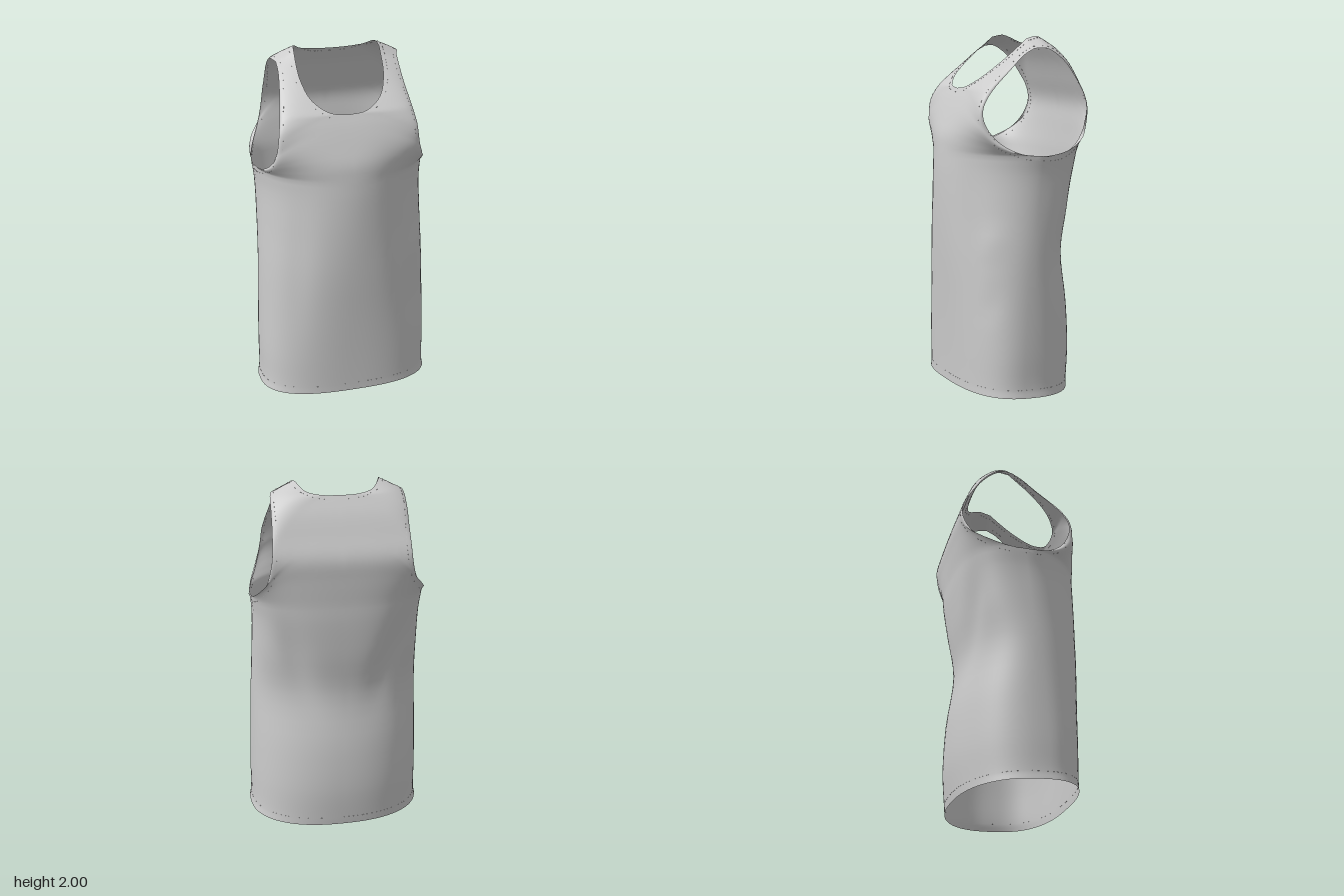
import * as THREE from 'three';
import { mergeGeometries, mergeVertices } from 'three/addons/utils/BufferGeometryUtils.js';

const V = (p) => new THREE.Vector3(...p);
const { clamp, lerp, smoothstep } = THREE.MathUtils;
const SEG = 4, COLS = 20;

// Samples a smooth path, SEG steps per control point
const path = (pts) => new THREE.CatmullRomCurve3(pts.map(V), false, 'centripetal').getPoints((pts.length - 1) * SEG);
const join = (...paths) => paths.flatMap((p, i) => (i ? p.slice(1) : p));

// Body levels: y, half width, front z, back z, side seam z
const body = [
  [0.015, 0.5, 0.34, -0.325, 0.04], [0.06, 0.492, 0.34, -0.33, 0.04], [0.25, 0.492, 0.345, -0.345, 0.04],
  [0.5, 0.488, 0.355, -0.335, 0.03], [0.8, 0.482, 0.37, -0.3, 0.02], [1.05, 0.475, 0.377, -0.33, 0.0],
  [1.25, 0.474, 0.376, -0.348, -0.02], [1.36, 0.486, 0.37, -0.352, -0.03],
];
const hemTilt = (y, z) => y + 0.045 * z * (1 - smoothstep(y, 0.1, 0.8));
const sideSeam = body.map(([y, w, , , s]) => [w, hemTilt(y, s), s]);
const midLine = (k) => body.map((b) => [0, hemTilt(b[0], b[k]), b[k]]);

// Upper halves: centre line, neckline and armhole edge.
// corner: squareness of the cross-section (third value) by height
const front = {
  sign: 1, body: midLine(2),
  corner: path([[0, 0, 2.7], [0, 0.25, 2.6], [0, 0.8, 2.15], [0, 1.05, 1.95], [0, 1.36, 1.9], [0, 1.6, 3]]),
  centre: [[0, 1.36, 0.37], [0, 1.45, 0.36], [0, 1.55, 0.327], [0, 1.65, 0.288], [0, 1.71, 0.26]],
  neck: [[0, 1.71, 0.26], [0.1, 1.723, 0.25], [0.19, 1.78, 0.19], [0.233, 1.87, 0.085], [0.24, 1.945, -0.005], [0.24, 1.988, -0.055]],
  arm: [[0.486, 1.36, -0.03], [0.462, 1.375, 0.09], [0.425, 1.43, 0.19], [0.402, 1.5, 0.245], [0.39, 1.57, 0.268],
    [0.383, 1.63, 0.26], [0.368, 1.71, 0.205], [0.348, 1.82, 0.09], [0.34, 1.9, 0.005], [0.342, 1.935, -0.055]],
};
const back = {
  sign: -1, body: midLine(3),
  corner: path([[0, 0, 2.35], [0, 0.5, 2.2], [0, 0.8, 2.1], [0, 1.05, 2.45], [0, 1.25, 2.8], [0, 1.6, 3.6]]),
  centre: [[0, 1.36, -0.352], [0, 1.5, -0.363], [0, 1.62, -0.368], [0, 1.74, -0.325], [0, 1.85, -0.28], [0, 1.94, -0.23]],
  neck: [[0, 1.94, -0.23], [0.1, 1.944, -0.226], [0.18, 1.96, -0.2], [0.23, 2, -0.12], [0.24, 1.988, -0.055]],
  arm: [[0.486, 1.36, -0.03], [0.48, 1.362, -0.13], [0.452, 1.405, -0.235], [0.41, 1.49, -0.315], [0.385, 1.6, -0.354],
    [0.377, 1.68, -0.342], [0.372, 1.78, -0.285], [0.37, 1.87, -0.217], [0.364, 1.935, -0.12], [0.342, 1.935, -0.055]],
};

// Slight turn of the shoulders about the vertical axis
function twist({ x, y, z }) {
  const k = smoothstep(y, 1.2, 1.6);
  return V([x - 0.06 * z * k, y, z + 0.045 * x * k]);
}

// Soft drape folds, as inward or outward depth
function fold(x, y, sign) {
  const bump = (x0, w, y0, h) => Math.exp(-(((x - x0) / w) ** 2) - ((y - y0) / h) ** 2);
  if (sign > 0) {
    const lean = 0.12 * (1.3 - y);
    return -0.012 * bump(0.24 + lean, 0.07, 0.9, 0.4) - 0.01 * bump(-0.3 - lean * 0.4, 0.07, 0.9, 0.4)
      - 0.012 * bump(0.41, 0.06, 0.55, 0.08) + 0.012 * bump(0.4, 0.07, 0.88, 0.07);
  }
  const sag = 0.3 * (1.3 - y);
  return 0.025 * (bump(0.36 - sag, 0.08, 1.05, 0.22) + bump(-0.36 + sag, 0.08, 1.05, 0.22));
}

// Third value of a profile at height y
function valueAt(profile, y) {
  const i = profile.findIndex((p) => p.y >= y);
  if (i < 0) return profile[profile.length - 1].z;
  if (i === 0) return profile[0].z;
  const a = profile[i - 1], b = profile[i];
  return lerp(a.z, b.z, (y - a.y) / (b.y - a.y));
}

// Half of the front or back panel, lofted from the centre to the side edge
function halfPanel(panel, side) {
  const inner = join(path(panel.body), path(panel.centre), path(panel.neck));
  const outer = join(path(sideSeam), path(panel.arm));
  const neckRows = (panel.neck.length - 1) * SEG, neckStart = inner.length - 1 - neckRows;
  const pos = [], index = [];
  inner.forEach((a, r) => {
    const b = outer[r];
    const n = valueAt(panel.corner, a.y);
    const upper = clamp((a.y - 1.36) / 0.4, 0, 1);
    const strap = smoothstep(r, neckStart, neckStart + neckRows);
    const edge = b.z - valueAt(inner, b.y);
    for (let c = 0; c <= COLS; c++) {
      const f = c === COLS ? 1 : Math.sin((c / COLS) * Math.PI / 2);
      const g = Math.pow(1 - Math.pow(f, n), 1 / n);
      const x = side * lerp(Math.max(a.x, 0), b.x, f);
      const y = lerp(b.y, a.y, lerp(g, lerp(1 - f * f, 1 - f, strap), upper));
      const z = lerp(valueAt(inner, y) + edge * (1 - g), lerp(a.z, b.z, f), strap);
      pos.push(...twist(V([x, y, z + fold(x, y, panel.sign) * (1 - f ** 6)])));
      if (r && c) {
        const i = r * (COLS + 1) + c, d = i - COLS - 1;
        if (side * panel.sign > 0) index.push(d - 1, d, i, d - 1, i, i - 1);
        else index.push(d - 1, i, d, d - 1, i - 1, i);
      }
    }
  });
  const g = new THREE.BufferGeometry();
  g.setAttribute('position', new THREE.Float32BufferAttribute(pos, 3));
  g.setIndex(index);
  return g;
}

// Dashes along a closed guide line, laid flat on the cloth
function stitches(name, guide, shirt, count, material) {
  const curve = new THREE.CatmullRomCurve3(guide.map(twist), true, 'centripetal');
  const P = shirt.attributes.position, N = shirt.attributes.normal;
  const v = new THREE.Vector3(), near = new THREE.Vector3(), n = new THREE.Vector3();
  const dashes = [];
  for (let i = 0; i < count; i++) {
    const p = curve.getPointAt(i / count), t = curve.getTangentAt(i / count);
    let best = Infinity;
    for (let j = 0; j < P.count; j++) {
      const d = v.fromBufferAttribute(P, j).distanceToSquared(p);
      if (d < best) {
        best = d;
        near.copy(v);
        n.fromBufferAttribute(N, j);
      }
    }
    p.addScaledVector(n, near.sub(p).dot(n));
    const across = new THREE.Vector3().crossVectors(n, t).normalize();
    const m = new THREE.Matrix4().makeBasis(t, across, new THREE.Vector3().crossVectors(t, across));
    dashes.push(new THREE.BoxGeometry(0.01, 0.002, 0.002).applyMatrix4(m.setPosition(p)));
  }
  const mesh = new THREE.Mesh(mergeGeometries(dashes), material);
  mesh.name = name;
  return mesh;
}

export function createModel() {
  const group = new THREE.Group();
  group.name = 'tankTop';
  const cloth = new THREE.MeshStandardMaterial({ color: 0xcccccc, side: THREE.DoubleSide });
  const thread = new THREE.MeshStandardMaterial({ color: 0xcccccc });

  // Shirt shell: front and back, left and right, welded at the seams
  const halves = [front, back].flatMap((p) => [1, -1].map((s) => halfPanel(p, s)));
  const shirt = mergeVertices(mergeGeometries(halves), 1e-4);
  shirt.computeVertexNormals();
  const shell = new THREE.Mesh(shirt, cloth);
  shell.name = 'shirtBody';
  group.add(shell);

  const flip = (p) => V([-p.x, p.y, p.z]);
  const ring = (a, b) => [...a, ...b.slice(1, -1).reverse()];

  // Neck stitching, set outward from the neckline
  const outward = (cy) => (p) => p.clone().add(V([p.x, p.y - cy, 0]).setLength(0.026));
  const neckHalf = join(path(front.neck).map(outward(2)), path(back.neck).map(outward(2.1)).reverse());
  group.add(stitches('neckStitching', ring(neckHalf, neckHalf.map(flip)), shirt, 90, thread));

  // Armhole stitching: below the armpit, turning inward along the straps
  const arm = ring(path(front.arm), path(back.arm)).map((p) => {
    const t = smoothstep(p.y, 1.36, 1.65);
    return p.add(V([-t, t - 1, 0]).setLength(0.026));
  });
  group.add(stitches('leftArmholeStitching', arm, shirt, 80, thread));
  group.add(stitches('rightArmholeStitching', arm.map(flip), shirt, 80, thread));

  // Hem stitching
  const hem = [];
  for (let i = 0; i < 64; i++) {
    const a = (i / 64) * Math.PI * 2, [y, w, f, b, s] = body[1];
    const isFront = Math.cos(a) > 0, n = isFront ? 2.7 : 2.35;
    const x = Math.sin(a), g = Math.pow(Math.max(0, 1 - Math.abs(x) ** n), 1 / n);
    const z = lerp(s, isFront ? f : b, g);
    hem.push(V([x * w, hemTilt(y, z), z]));
  }
  group.add(stitches('hemStitching', hem, shirt, 100, thread));
  return group;
}
